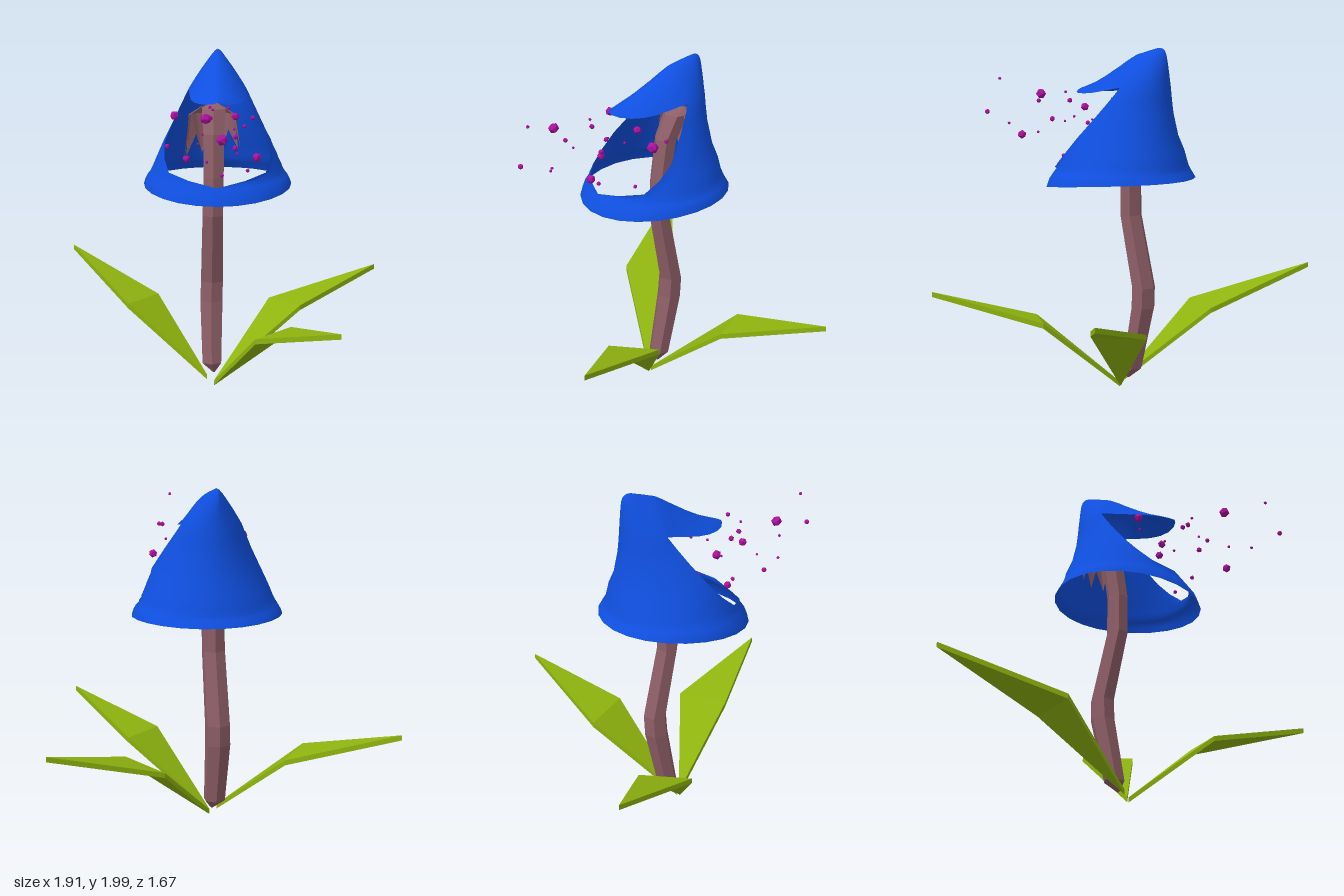
import * as THREE from 'three';
import { mergeGeometries, mergeVertices } from 'three/addons/utils/BufferGeometryUtils.js';

const mat = (color, flatShading) =>
  new THREE.MeshStandardMaterial({ color, flatShading, side: THREE.DoubleSide });

// Skin over rows of points; every row has the same number of points
function skin(rows) {
  const n = rows[0].length, index = [];
  for (let i = 0; i < rows.length - 1; i++) {
    for (let j = 0; j < n - 1; j++) {
      const a = i * n + j, b = a + n;
      index.push(a, b, a + 1, a + 1, b, b + 1);
    }
  }
  const g = new THREE.BufferGeometry();
  g.setAttribute('position', new THREE.Float32BufferAttribute(rows.flat(2), 3));
  g.setIndex(index);
  return g;
}

// Arc around the vertical axis, angle 0 at the back; y may depend on the angle
function arc(cx, y, zc, rx, rz, endDeg, steps) {
  const pts = [];
  for (let j = 0; j <= steps; j++) {
    const t = (j / steps * 2 - 1) * endDeg * Math.PI / 180;
    pts.push([cx + rx * Math.sin(t), typeof y === 'function' ? y(t, j) : y, zc - rz * Math.cos(t)]);
  }
  return pts;
}

function hoodGeometry() {
  const cx = -0.027, half = 12;
  // Wall: full rings at the collar, then arcs open to the front
  const front = t => ((1 - Math.cos(t)) / 2) ** 2;
  const wall = [
    [t => 1.26 - 0.07 * front(t), -0.09, 0.43, 0.43, 180],
    [t => 1.285 - 0.045 * front(t), -0.092, 0.42, 0.413, 180],
    [t => 1.305 - 0.02 * front(t), -0.1, 0.405, 0.39, 180],
    [1.32, -0.1, 0.39, 0.385, 156],
    [1.35, -0.1, 0.375, 0.375, 133],
    [1.42, -0.1, 0.345, 0.36, 119],
    [1.5, -0.08, 0.31, 0.35, 103],
    [1.63, -0.1, 0.245, 0.31, 90],
    [1.71, -0.155, 0.205, 0.248, 90],
    [1.78, -0.2, 0.17, 0.2, 90],
  ].map(([y, zc, rx, rz, end]) => arc(cx, y, zc, rx, rz, end, half * 2));

  // Peak and tongue: arched sections running from back to front
  const ridge = new THREE.CatmullRomCurve3([
    [0, 1.93, -0.4], [0, 1.985, -0.385], [0, 2, -0.355], [0, 1.988, -0.3],
    [0, 1.96, -0.2]].map(p => new THREE.Vector3(...p))).getPoints(80);
  const sections = [];
  for (let i = 0; i <= half; i++) {
    const t = i / half * Math.PI / 2, z = -0.2 - 0.2 * Math.cos(t);
    const near = ridge.reduce((a, b) => Math.abs(b.z - z) < Math.abs(a.z - z) ? b : a);
    sections.push([z, near.y, 1.78, 0.17 * Math.sin(t)]);
  }
  sections.push([-0.15, 1.932, 1.772, 0.165], [-0.1, 1.9, 1.762, 0.162], [0, 1.84, 1.745, 0.152],
    [0.07, 1.803, 1.738, 0.135], [0.13, 1.78, 1.736, 0.105], [0.18, 1.763, 1.738, 0.06],
    [0.205, 1.752, 1.745, 0.015]);
  const peak = sections.map(([z, top, edge, hw]) => {
    const row = [];
    for (let j = -8; j <= 8; j++) {
      const u = j / 8;
      row.push([cx + hw * u, edge + (top - edge) * (1 - Math.abs(u) ** 1.6), z]);
    }
    return row;
  });
  const g = mergeVertices(mergeGeometries([skin(wall), skin(peak)]), 1e-4);
  g.computeVertexNormals();
  return g;
}

// Leaf: a root, two corners at the fold and a tip, with even thickness
function leafGeometry(root, a, b, tip) {
  const top = [root, a, tip, b];
  const low = top.map(([x, y, z]) => [x, y - 0.03, z]);
  const g = new THREE.BufferGeometry();
  g.setAttribute('position', new THREE.Float32BufferAttribute([...top, ...low].flat(), 3));
  const index = [0, 1, 3, 1, 2, 3, 4, 7, 5, 5, 7, 6];
  for (let i = 0; i < 4; i++) {
    const j = (i + 1) % 4;
    index.push(i, i + 4, j, j, i + 4, j + 4);
  }
  g.setIndex(index);
  g.computeVertexNormals();
  return g;
}

export function createModel() {
  const model = new THREE.Group();
  const add = (name, geometry, material, parent = model) => {
    const mesh = new THREE.Mesh(geometry, material);
    mesh.name = name;
    parent.add(mesh);
    return mesh;
  };
  const brown = mat(0x8f5f68, true), green = mat(0x8fb40f, true), magenta = mat(0xb010a0, true);

  add('hood', hoodGeometry(), mat(0x0f4fe0, false));

  // Six-sided bent stem
  const stem = [
    [-0.05, 0.07, -0.13, 0.005], [-0.062, 0.13, -0.15, 0.065], [-0.065, 0.5, -0.222, 0.077],
    [-0.062, 0.62, -0.228, 0.076], [-0.055, 1.04, -0.143, 0.07], [-0.05, 1.27, -0.145, 0.068],
    [-0.05, 1.52, -0.18, 0.07], [-0.05, 1.66, -0.25, 0.08], [-0.05, 1.69, -0.3, 0.01],
  ].map(([x, y, z, r]) => arc(x, y, z, r, r * 0.92, 180, 6));
  const stemGeometry = skin(stem);
  stemGeometry.computeVertexNormals();
  add('stem', stemGeometry, brown);

  // Ragged frill inside the hood, behind the stem top
  const frill = skin([
    arc(-0.06, t => 1.45 + 0.02 * t, -0.25, 0.15, 0.09, 105, 10),
    arc(-0.06, 1.62, -0.26, 0.14, 0.09, 105, 10),
    arc(-0.06, 1.67, -0.28, 0.06, 0.06, 105, 10),
  ]);
  const p = frill.attributes.position;
  for (let j = 0; j <= 10; j++) {
    p.setY(j, p.getY(j) + (j % 2 ? 0.06 : -0.06));
    p.setX(j, -0.06 + (p.getX(j) + 0.06) * (j % 2 ? 0.95 : 1.15));
  }
  frill.computeVertexNormals();
  add('frill', frill, brown);

  // Three folded leaves
  const leaves = new THREE.Group();
  leaves.name = 'leaves';
  model.add(leaves);
  [
    [[-0.09, 0.07, -0.08], [-0.57, 0.47, -0.23], [-0.4, 0.465, -0.48], [-0.96, 0.695, -0.83]],
    [[-0.045, 0.04, -0.08], [0.29, 0.44, -0.48], [0.47, 0.46, -0.23], [0.955, 0.625, -0.605]],
    [[-0.05, 0.035, -0.07], [0.4, 0.44, 0.15], [0.19, 0.43, 0.36], [0.64, 0.59, 0.78]],
  ].forEach(([root, a, b, tip]) => add('leaf', leafGeometry(root, b, a, tip), green, leaves));

  // Drifting spores: x, y, z, radius
  const spores = new THREE.Group();
  spores.name = 'spores';
  model.add(spores);
  [
    [-0.27, 1.66, 0.06, 0.027], [-0.2, 1.43, 0.165, 0.023], [-0.11, 1.57, 0.17, 0.008],
    [-0.3, 1.53, 0.34, 0.015], [-0.13, 1.55, 0.385, 0.008], [-0.065, 1.68, 0.3, 0.016],
    [0, 1.36, 0.3, 0.013], [0.075, 1.58, 0.325, 0.017], [0.17, 1.69, 0.35, 0.014],
    [0.145, 1.36, 0.15, 0.012], [0.19, 1.49, 0.46, 0.026], [-0.085, 1.71, 0.53, 0.031],
    [0.08, 1.54, 0.645, 0.009], [-0.08, 1.48, 0.55, 0.009], [0.035, 1.8, 0.75, 0.01],
    [0.07, 1.6, 0.82, 0.016], [0.075, 1.66, 0.09, 0.024], [0, 1.5, -0.06, 0.035],
    [-0.07, 1.7, 0, 0.01], [0.13, 1.58, -0.065, 0.013], [-0.05, 1.73, 0.32, 0.009],
    [0.07, 1.6, 0.17, 0.009],
  ].forEach(([x, y, z, r], i) => {
    const spore = add('spore', new THREE.IcosahedronGeometry(r, 0), magenta, spores);
    spore.position.set(x, y, z);
    spore.rotation.set(i, i * 2, 0);
  });
  return model;
}
